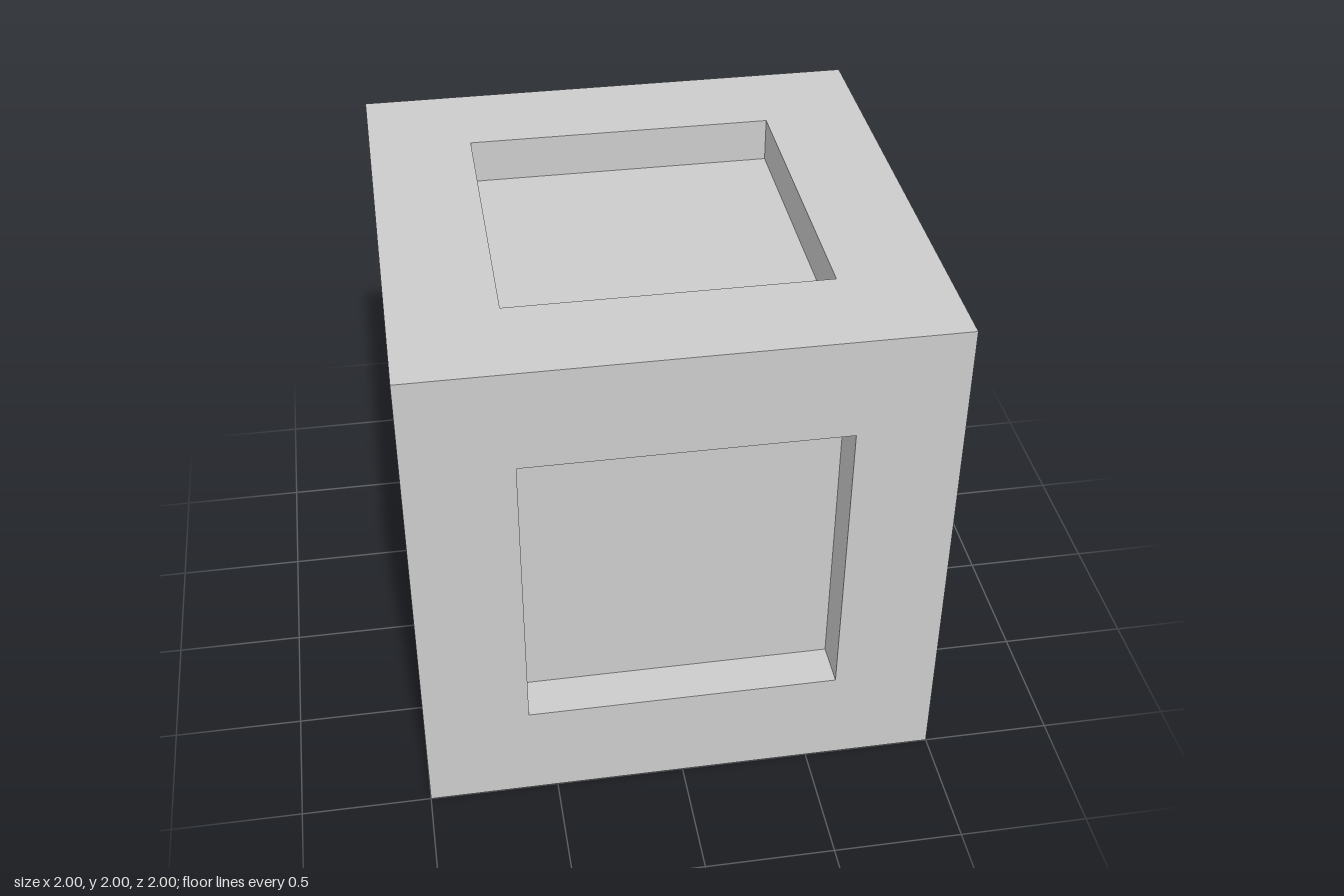
import * as THREE from 'three';
import { mergeGeometries } from 'three/addons/utils/BufferGeometryUtils.js';

const HALF = 1;        // half the cube's side
const OPEN = 0.6;      // half the side of each square opening
const PANE = 0.05;     // panel thickness
const MID = (HALF + OPEN) / 2;

const square = (Type, h) => new Type([
  new THREE.Vector2(-h, -h), new THREE.Vector2(h, -h),
  new THREE.Vector2(h, h), new THREE.Vector2(-h, h),
]);

// One side of the frame, facing +z: a square ring and the four walls of its opening
function frameSide() {
  const ring = square(THREE.Shape, HALF);
  ring.holes.push(square(THREE.Path, OPEN));
  const parts = [new THREE.ShapeGeometry(ring).translate(0, 0, HALF)];
  for (let i = 0; i < 4; i++) {
    parts.push(new THREE.PlaneGeometry(2 * OPEN, HALF - OPEN)
      .rotateX(-Math.PI / 2)
      .translate(0, -OPEN, MID)
      .rotateZ(i * Math.PI / 2));
  }
  return mergeGeometries(parts);
}

export function createModel() {
  const model = new THREE.Group();
  model.name = 'panelledCube';
  const grey = new THREE.MeshStandardMaterial({ color: 0xcccccc });
  grey.name = 'light grey';

  // Turns that carry the +z side to each side of the cube; the -x side has no panel
  const q = Math.PI / 2;
  const sides = [
    { name: 'front', x: 0, y: 0, panel: true },
    { name: 'left', x: 0, y: q, panel: true },
    { name: 'back', x: 0, y: 2 * q, panel: true },
    { name: 'right', x: 0, y: -q, panel: false },
    { name: 'top', x: -q, y: 0, panel: true },
    { name: 'bottom', x: q, y: 0, panel: true },
  ];
  const place = (geometry, s) => geometry.rotateX(s.x).rotateY(s.y).translate(0, HALF, 0);

  // Hollow cube frame
  const frame = new THREE.Mesh(mergeGeometries(sides.map((s) => place(frameSide(), s))), grey);
  frame.name = 'frame';
  model.add(frame);

  // Thin panels set midway into the openings
  for (const s of sides.filter((side) => side.panel)) {
    const geometry = new THREE.BoxGeometry(2 * OPEN, 2 * OPEN, PANE).translate(0, 0, MID);
    const panel = new THREE.Mesh(place(geometry, s), grey);
    panel.name = s.name + 'Panel';
    model.add(panel);
  }
  return model;
}
